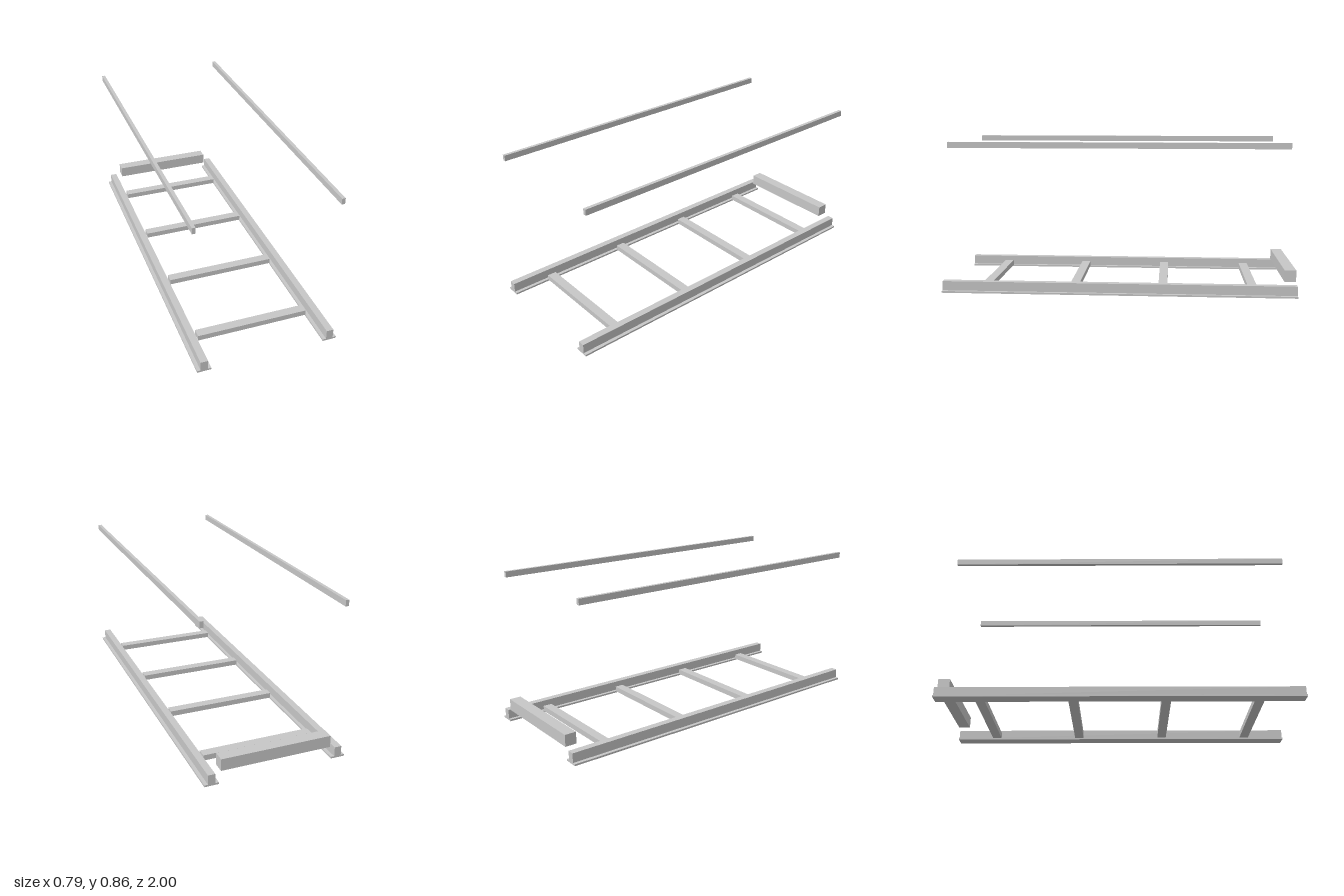
import * as THREE from 'three';

export function createModel() {
  const group = new THREE.Group();
  const steel = new THREE.MeshStandardMaterial({ color: 0xc7c7c7 });
  steel.name = 'light grey steel';

  // Box placed by its minimum and maximum on each axis
  function bar(name, [x0, x1], [y0, y1], [z0, z1]) {
    const mesh = new THREE.Mesh(new THREE.BoxGeometry(x1 - x0, y1 - y0, z1 - z0), steel);
    mesh.name = name;
    mesh.position.set((x0 + x1) / 2, (y0 + y1) / 2, (z0 + z1) / 2);
    group.add(mesh);
  }

  // Inverted T section of the long base rails
  const section = new THREE.Shape([
    [-0.039, 0], [0.039, 0], [0.039, 0.01], [0.0195, 0.01],
    [0.0195, 0.063], [-0.0195, 0.063], [-0.0195, 0.01], [-0.039, 0.01],
  ].map(([x, y]) => new THREE.Vector2(x, y)));
  const railGeometry = new THREE.ExtrudeGeometry(section, { depth: 2, bevelEnabled: false });

  for (const [side, s] of [['left', 1], ['right', -1]]) {
    const rail = new THREE.Mesh(railGeometry, steel);
    rail.name = `${side}BaseRail`;
    rail.position.set(s * 0.3565, 0, -1);
    group.add(rail);

    // Slim overhead rail, standing free above the base
    const cx = s * 0.386;
    bar(`${side}UpperRail`, [cx - 0.0095, cx + 0.0095], [0.822, 0.855], [-0.94, 0.94]);
  }

  // Evenly spaced cross members between the base rails
  for (let i = 0; i < 4; i++) {
    const z = -0.761 + i * 0.507;
    bar(`crossMember${i + 1}`, [-0.317, 0.317], [0.009, 0.04], [z - 0.026, z + 0.026]);
  }

  // Heavy end beam at the back
  bar('backBeam', [-0.307, 0.307], [0.073, 0.139], [-1, -0.935]);

  return group;
}
